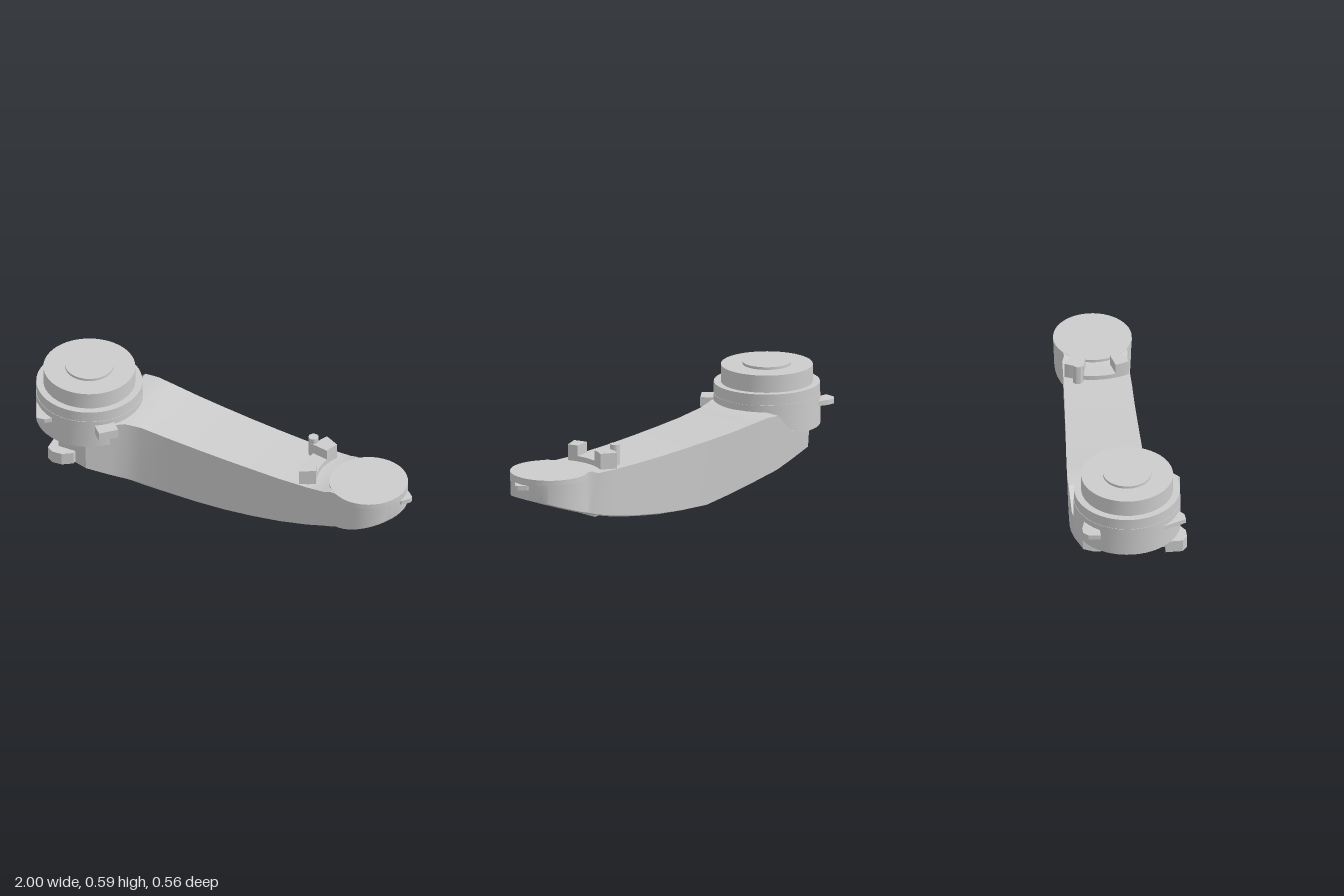
import * as THREE from 'three';
import { toCreasedNormals } from 'three/addons/utils/BufferGeometryUtils.js';

const material = new THREE.MeshStandardMaterial({ color: 0xcccccc });
const HEAD = [-0.735, -0.01]; // x, z of the large round end
const TIP = [0.77, -0.01]; // x, z of the small round end

function add(group, name, geometry, x = 0, y = 0, z = 0, turn = 0) {
  const mesh = new THREE.Mesh(geometry, material);
  mesh.name = name;
  mesh.position.set(x, y, z);
  mesh.rotation.y = turn;
  group.add(mesh);
  return mesh;
}

// Upright disc between two heights
function disc(group, name, [x, z], r, y0, y1) {
  const g = toCreasedNormals(new THREE.CylinderGeometry(r, r, y1 - y0, 48), 0.6);
  return add(group, name, g, x, (y0 + y1) / 2, z);
}

// Box given by its limits on each axis
function box(group, name, [x0, x1], [y0, y1], [z0, z1], turn = 0) {
  const g = new THREE.BoxGeometry(x1 - x0, y1 - y0, z1 - z0);
  return add(group, name, g, (x0 + x1) / 2, (y0 + y1) / 2, (z0 + z1) / 2, turn);
}

// Flat outline (x, z) raised between two heights
function plate(group, name, points, y0, y1) {
  const shape = new THREE.Shape(points.map(([x, z]) => new THREE.Vector2(x, -z)));
  const g = new THREE.ExtrudeGeometry(shape, { depth: y1 - y0, bevelEnabled: false });
  g.rotateX(-Math.PI / 2);
  return add(group, name, g, 0, y0, 0);
}

// Piece of a ring around the small end
function sector(group, name, r0, r1, a0, a1, y0, y1) {
  const points = [];
  for (let i = 0; i <= 10; i++) points.push([r1, a0 + (a1 - a0) * i / 10]);
  for (let i = 10; i >= 0; i--) points.push([r0, a0 + (a1 - a0) * i / 10]);
  return plate(group, name, points.map(([r, deg]) => {
    const a = THREE.MathUtils.degToRad(deg);
    return [TIP[0] + r * Math.cos(a), TIP[1] - r * Math.sin(a)];
  }), y0, y1);
}

// Joins six-sided cross-sections along x into a closed solid
function loft(sections) {
  const pos = [];
  const tri = (...p) => p.forEach(v => pos.push(...v));
  const n = sections[0].length;
  for (let i = 0; i < sections.length - 1; i++) {
    for (let j = 0; j < n; j++) {
      const k = (j + 1) % n, s = sections[i], t = sections[i + 1];
      tri(s[j], t[j], t[k]);
      tri(s[j], t[k], s[k]);
    }
  }
  const first = sections[0], last = sections[sections.length - 1];
  for (let j = 1; j < n - 1; j++) {
    tri(first[0], first[j], first[j + 1]);
    tri(last[0], last[j + 1], last[j]);
  }
  const g = new THREE.BufferGeometry();
  g.setAttribute('position', new THREE.Float32BufferAttribute(pos, 3));
  return toCreasedNormals(g, 0.45);
}

function armGeometry() {
  // x, top, bottom, front z, back z, bottom front z, bottom back z, front and back chamfer height
  const rows = [
    [-0.80, 0.30, 0.165, 0.23, -0.245, 0.19, -0.18, 0.185, 0.185],
    [-0.65, 0.30, 0.085, 0.24, -0.275, 0.15, -0.15, 0.14, 0.15],
    [-0.55, 0.40, 0.055, 0.18, -0.281, 0.12, -0.14, 0.09, 0.12],
    [-0.48, 0.402, 0.042, 0.14, -0.279, 0.11, -0.14, 0.06, 0.105],
    [-0.40, 0.39, 0.032, 0.122, -0.272, 0.11, -0.15, 0.045, 0.085],
    [-0.25, 0.367, 0.02, 0.122, -0.258, 0.11, -0.18, 0.03, 0.05],
    [-0.10, 0.35, 0.013, 0.126, -0.243, 0.11, -0.207, 0.02, 0.02],
    [0.05, 0.335, 0.013, 0.13, -0.228, 0.112, -0.2, 0.02, 0.02],
    [0.20, 0.322, 0.021, 0.134, -0.214, 0.117, -0.193, 0.028, 0.028],
    [0.35, 0.312, 0.038, 0.14, -0.2, 0.122, -0.182, 0.045, 0.045],
    [0.50, 0.306, 0.063, 0.143, -0.187, 0.127, -0.17, 0.07, 0.07],
    [0.60, 0.306, 0.087, 0.144, -0.18, 0.13, -0.163, 0.094, 0.094],
  ];
  // Rounded tip follows the small disc
  for (let i = 0; i <= 13; i++) {
    const a = Math.PI * (0.76 - 0.745 * i / 13);
    const x = TIP[0] + 0.195 * Math.cos(a);
    const w = Math.max(0.195 * Math.sin(a), x < 0.7 ? 0.158 : 0);
    const y = 0.09 + 0.325 * (x - 0.61) + 0.055 * (x - 0.61) ** 2;
    rows.push([x, 0.319, y, TIP[1] + w, TIP[1] - w, TIP[1] + w * 0.92, TIP[1] - w * 0.92, y + 0.006, y + 0.006]);
  }
  return loft(rows.map(([x, top, bottom, f, b, bf, bb, cf, cb]) => [
    [x, top, f], [x, top, b], [x, cb, b * 0.6 + Math.min(bb, b * 0.9) * 0.4],
    [x, bottom, bb], [x, bottom, bf], [x, cf, f * 0.6 + Math.max(bf, f * 0.9) * 0.4],
  ]));
}

export function createModel() {
  const model = new THREE.Group();
  model.name = 'jointedArm';
  add(model, 'armBody', armGeometry());

  // Stepped round head
  disc(model, 'headBase', HEAD, 0.265, 0.28, 0.435);
  disc(model, 'headRim', HEAD, 0.263, 0.435, 0.492);
  disc(model, 'headStep', HEAD, 0.228, 0.492, 0.58);
  disc(model, 'headCap', HEAD, 0.12, 0.58, 0.593);

  // Small round end
  disc(model, 'tipPad', TIP, 0.195, 0.295, 0.32);
  plate(model, 'tipTab', [[0.94, -0.055], [0.965, -0.055], [1, -0.02], [1, 0], [0.965, 0.035], [0.94, 0.035]], 0.262, 0.285);

  // Curved stop with raised ends and a post
  sector(model, 'stopBase', 0.26, 0.345, 157, 203, 0.3, 0.333);
  sector(model, 'stopEnd', 0.26, 0.345, 150, 166, 0.3, 0.387);
  sector(model, 'stopEnd', 0.26, 0.345, 193, 205, 0.3, 0.387);
  disc(model, 'stopPost', [0.425, -0.122], 0.025, 0.3, 0.413);
  box(model, 'stopPostLink', [0.425, 0.47], [0.3, 0.387], [-0.112, -0.095]);

  // Lugs around the head
  box(model, 'headLug', [-0.60, -0.50], [0.365, 0.412], [0.17, 0.25], -0.72).rotation.y = 0.72;
  plate(model, 'headEar', [[-0.99, -0.17], [-0.985, -0.23], [-0.96, -0.255], [-0.92, -0.255], [-0.84, -0.23], [-0.85, -0.17]], 0.38, 0.405);
  plate(model, 'headEar', [[-0.95, 0.15], [-0.91, 0.245], [-0.9, 0.265], [-0.86, 0.262], [-0.82, 0.23], [-0.82, 0.15]], 0.38, 0.403);
  plate(model, 'lowerEar', [[-0.845, 0.17], [-0.845, 0.255], [-0.81, 0.28], [-0.76, 0.28], [-0.71, 0.25], [-0.7, 0.17]], 0.165, 0.23);

  // Underside pegs and tabs
  for (const x of [-0.13, 0.05]) for (const z of [-0.14, 0.04]) disc(model, 'underPeg', [x, z], 0.02, 0, 0.03);
  box(model, 'underTab', [0.5, 0.545], [0.056, 0.1], [-0.098, 0.057]);
  box(model, 'underTab', [-0.545, -0.5], [0.036, 0.08], [-0.098, 0.057]);
  return model;
}
